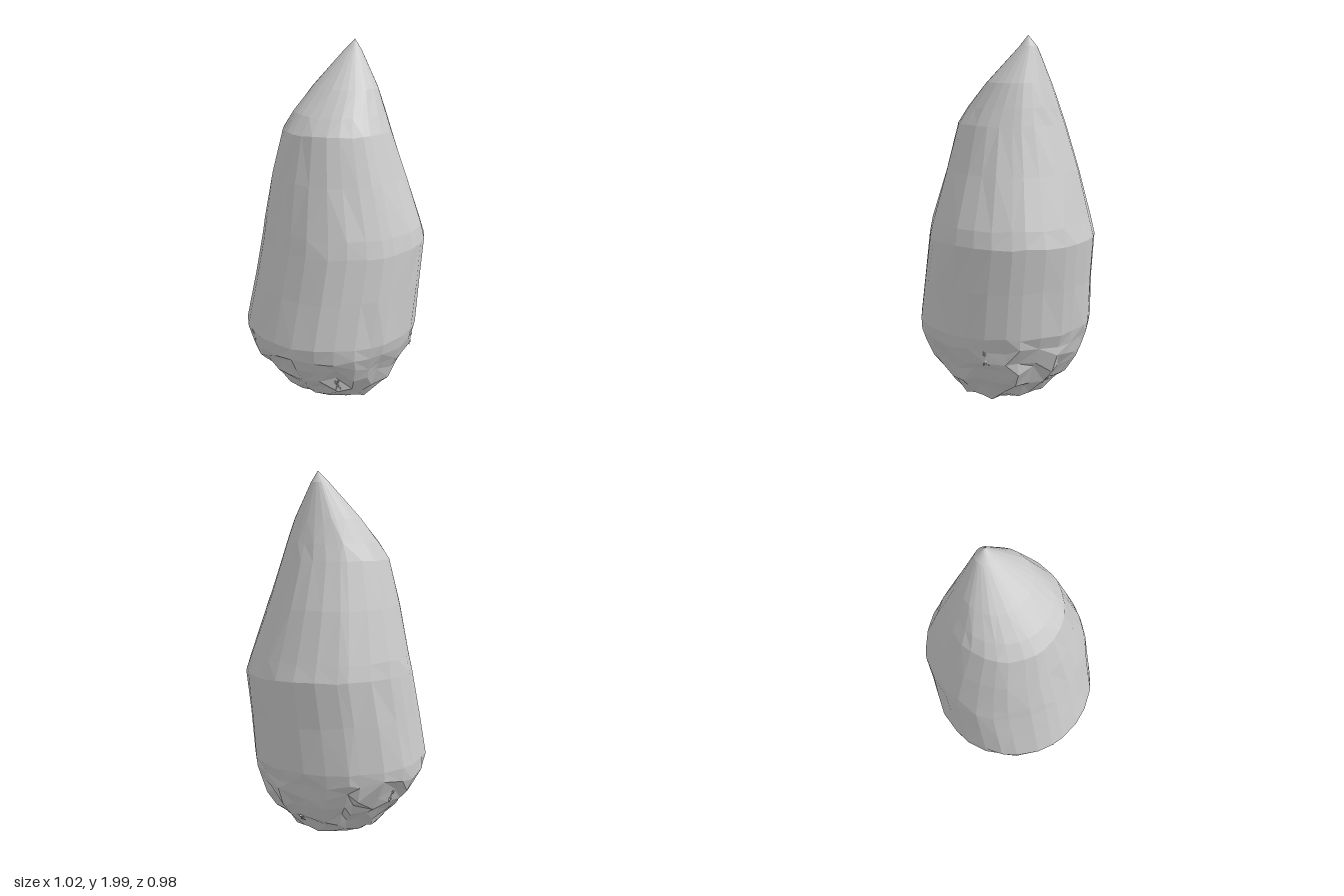
import * as THREE from 'three';

const SIDES = 28;

// repeatable noise in -1..1 for any pair of numbers
const noise = (a, b) => {
  const s = Math.sin(a * 127.1 + b * 311.7) * 43758.5453;
  return (s - Math.floor(s)) * 2 - 1;
};

// cross-sections: height, min x, max x, min z, max z, roughness
const SECTIONS = [
  [0.012, -0.21, 0.18, -0.19, 0.23, 0.010],
  [0.03, -0.25, 0.23, -0.23, 0.29, 0.012],
  [0.09, -0.31, 0.29, -0.28, 0.34, 0.020],
  [0.15, -0.37, 0.35, -0.34, 0.38, 0.022],
  [0.22, -0.43, 0.40, -0.40, 0.42, 0.022],
  [0.29, -0.47, 0.43, -0.45, 0.46, 0.018],
  [0.36, -0.51, 0.455, -0.485, 0.48, 0.012],
  [0.43, -0.518, 0.465, -0.488, 0.488, 0.005],
  [0.68, -0.465, 0.485, -0.465, 0.492, 0.005],
  [0.92, -0.415, 0.51, -0.44, 0.493, 0.004],
  [1.01, -0.393, 0.482, -0.428, 0.472, 0.004],
  [1.28, -0.332, 0.40, -0.367, 0.38, 0.005],
  [1.53, -0.275, 0.322, -0.298, 0.30, 0.004],
  [1.62, -0.21, 0.295, -0.25, 0.257, 0.004],
  [1.75, -0.09, 0.255, -0.175, 0.195, 0.002],
  [1.94, 0.10, 0.196, -0.04, 0.06, 0],
];

function ring(k) {
  const [y, x0, x1, z0, z1, rough] = SECTIONS[k];
  return Array.from({ length: SIDES }, (_, j) => {
    const a = ((j + 0.28 * noise(j, 5)) / SIDES) * Math.PI * 2;
    const r = 1 + rough * 2.2 * noise(k + 1, j + 3) - rough;
    return new THREE.Vector3(
      (x0 + x1) / 2 + ((x1 - x0) / 2) * r * Math.cos(a),
      y + (k ? rough * 1.4 * noise(j + 9, k + 2) : 0.004 * noise(j, 2)),
      (z0 + z1) / 2 + ((z1 - z0) / 2) * r * Math.sin(a)
    );
  });
}

// faceted skin through a run of rings, with an optional point at either end
function skin(name, rings, material, bottom, top) {
  const pos = [];
  const tri = (...pts) => pts.forEach((p) => pos.push(p.x, p.y, p.z));
  for (let j = 0; j < SIDES; j++) {
    const n = (j + 1) % SIDES;
    for (let k = 0; k + 1 < rings.length; k++) {
      const lo = rings[k], hi = rings[k + 1];
      if (noise(j, k) > 0) {
        tri(lo[j], hi[j], lo[n]);
        tri(lo[n], hi[j], hi[n]);
      } else {
        tri(lo[j], hi[n], lo[n]);
        tri(lo[j], hi[j], hi[n]);
      }
    }
    if (bottom) tri(bottom, rings[0][j], rings[0][n]);
    if (top) tri(rings.at(-1)[j], top, rings.at(-1)[n]);
  }
  const geometry = new THREE.BufferGeometry();
  geometry.setAttribute('position', new THREE.Float32BufferAttribute(pos, 3));
  geometry.computeVertexNormals();
  const mesh = new THREE.Mesh(geometry, material);
  mesh.name = name;
  return mesh;
}

export function createModel() {
  const group = new THREE.Group();
  group.name = 'pointedStone';
  const material = new THREE.MeshStandardMaterial({ color: 0xcccccc, flatShading: true });
  const rings = SECTIONS.map((_, k) => ring(k));

  // rough rounded base, long-faceted body, leaning tip
  group.add(
    skin('roughBase', rings.slice(0, 8), material, new THREE.Vector3(-0.02, 0.02, 0.02), null),
    skin('facetedBody', rings.slice(7, 13), material, null, null),
    skin('slantedTip', rings.slice(12), material, null, new THREE.Vector3(0.155, 2, 0.02))
  );

  // small splinters half sunk into the base
  const chips = new THREE.Group();
  chips.name = 'chips';
  const shape = new THREE.TetrahedronGeometry(1);
  for (let i = 0; i < 44; i++) {
    const k = 2 + (i % 5);
    const j = (i * 11 + Math.floor(i / 5)) % SIDES;
    const p = rings[k][j], up = rings[k + 1][j];
    const chip = new THREE.Mesh(shape, material);
    chip.name = 'chip';
    chip.position.copy(p).lerp(up, 0.5);
    chip.position.x *= 0.965;
    chip.position.z *= 0.965;
    // long side runs up the slope
    chip.quaternion.setFromUnitVectors(new THREE.Vector3(0, 1, 0), up.clone().sub(p).normalize());
    chip.rotateY(noise(i, 7) * Math.PI);
    chip.scale.set(0.026, 0.055 + 0.02 * noise(i, 4), 0.026);
    chips.add(chip);
  }
  group.add(chips);
  return group;
}
